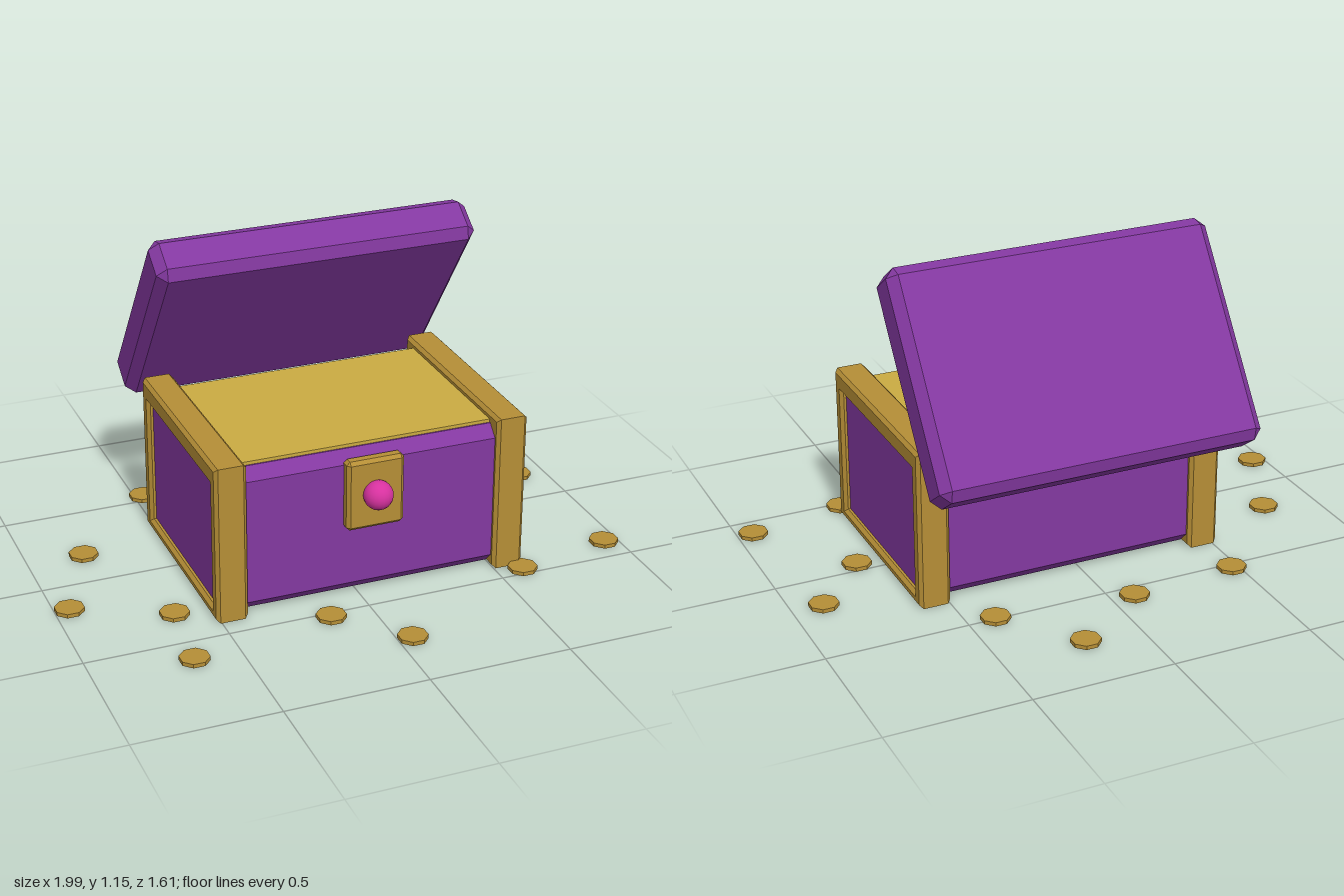
import * as THREE from 'three';
import { ConvexGeometry } from 'three/addons/geometries/ConvexGeometry.js';

const material = (name, color) => {
  const m = new THREE.MeshStandardMaterial({ color });
  m.name = name;
  return m;
};

// Box with all edges cut by a single flat chamfer
function chamferBox(w, h, d, c) {
  const half = [w / 2, h / 2, d / 2], pts = [];
  for (const sx of [-1, 1]) for (const sy of [-1, 1]) for (const sz of [-1, 1])
    for (let axis = 0; axis < 3; axis++) {
      const p = half.map((v, i) => (i === axis ? v : v - c));
      pts.push(new THREE.Vector3(p[0] * sx, p[1] * sy, p[2] * sz));
    }
  return new ConvexGeometry(pts);
}

// Rectangular outline in the side plane
function rect(target, x0, y0, x1, y1) {
  target.moveTo(x0, y0);
  target.lineTo(x1, y0);
  target.lineTo(x1, y1);
  target.lineTo(x0, y1);
  target.closePath();
  return target;
}

export function createModel() {
  const purple = material('purple paint', 0x8338a0);
  const gold = material('gold trim', 0xb58e36);
  const treasure = material('bright gold', 0xcaab42);
  const pink = material('pink gem', 0xd832a0);

  const model = new THREE.Group();
  model.name = 'treasureChest';
  const add = (parent, name, geometry, mat, x, y, z) => {
    const mesh = new THREE.Mesh(geometry, mat);
    mesh.name = name;
    mesh.position.set(x, y, z);
    parent.add(mesh);
    return mesh;
  };

  // Chest, centred on its own origin
  const chest = new THREE.Group();
  chest.name = 'chest';
  chest.position.set(0.045, 0, 0.045);
  model.add(chest);

  add(chest, 'body', chamferBox(1.04, 0.53, 0.73, 0.04), purple, 0, 0.275, 0);
  add(chest, 'treasureSurface', new THREE.BoxGeometry(0.94, 0.04, 0.64), treasure, 0, 0.532, 0);

  // Ring-shaped end frames with a recessed panel inside
  const bevel = 0.012, width = 0.112;
  const outline = rect(new THREE.Shape(), -0.385, 0.003, 0.385, 0.575);
  outline.holes.push(rect(new THREE.Path(), -0.33, 0.042, 0.33, 0.502));
  const frameGeometry = new THREE.ExtrudeGeometry(outline, {
    depth: width - 2 * bevel, bevelEnabled: true, bevelThickness: bevel,
    bevelSize: bevel, bevelOffset: -bevel, bevelSegments: 1,
  });
  frameGeometry.translate(0, 0, bevel - width / 2);
  frameGeometry.rotateY(Math.PI / 2);
  for (const [side, s] of [['left', 1], ['right', -1]]) {
    add(chest, side + 'Frame', frameGeometry, gold, s * 0.506, 0, 0);
    add(chest, side + 'Panel', new THREE.BoxGeometry(0.06, 0.48, 0.68), purple, s * 0.511, 0.272, 0);
  }

  // Lock plate and round gem
  add(chest, 'lockPlate', chamferBox(0.206, 0.255, 0.05, 0.012), gold, 0, 0.392, 0.375);
  add(chest, 'gem', new THREE.SphereGeometry(0.051, 20, 14), pink, 0, 0.395, 0.417);

  // Open lid, tipped back
  const lid = add(model, 'lid', chamferBox(1.16, 0.17, 0.782, 0.033), purple, 0.045, 0.803, -0.323);
  lid.rotation.x = -0.945;

  // Scattered eight-sided coins
  const coinGeometry = new THREE.CylinderGeometry(0.052, 0.052, 0.014, 8).toNonIndexed();
  coinGeometry.rotateY(Math.PI / 8);
  coinGeometry.computeVertexNormals();
  const spots = [
    [0.2, -0.76], [-0.08, -0.56], [-0.8, -0.18], [-0.95, 0.165], [-0.63, 0.32],
    [-0.66, 0.615], [-0.15, 0.53], [0.05, 0.75], [0.59, 0.47], [0.945, 0.4],
    [0.69, 0.04], [0.89, -0.18], [-0.47, -0.53], [0.405, -0.5],
  ];
  const coins = new THREE.Group();
  coins.name = 'coins';
  model.add(coins);
  spots.forEach(([x, z], i) => add(coins, 'coin' + (i + 1), coinGeometry, gold, x, 0.012, z));

  return model;
}
